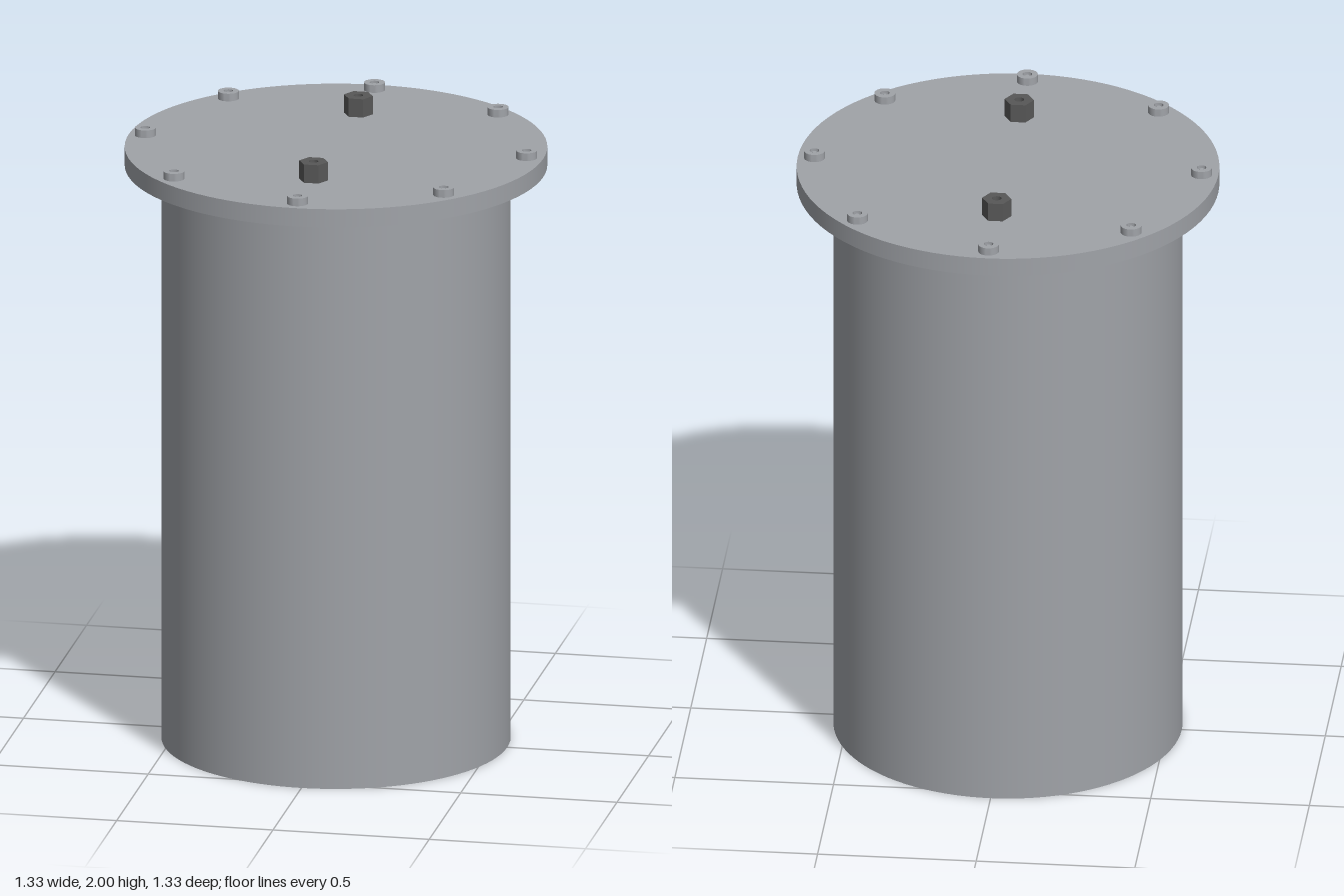
import * as THREE from 'three';
import { toCreasedNormals } from 'three/addons/utils/BufferGeometryUtils.js';

const BODY_R = 0.548, LID_R = 0.663, LID_Y = 1.88, LID_TOP = 1.94;

export function createModel() {
  const model = new THREE.Group();
  model.name = 'canister';
  const steel = new THREE.MeshStandardMaterial({ name: 'steel grey', color: 0xa0a3a8 });
  const dark = new THREE.MeshStandardMaterial({ name: 'dark grey', color: 0x585858 });

  const add = (name, geometry, material, x, y, z) => {
    const mesh = new THREE.Mesh(geometry, material);
    mesh.name = name;
    mesh.position.set(x, y, z);
    model.add(mesh);
  };

  // Cylindrical body and overhanging lid
  add('body', new THREE.CylinderGeometry(BODY_R, BODY_R, LID_Y, 96), steel, 0, LID_Y / 2, 0);
  add('lid', new THREE.CylinderGeometry(LID_R, LID_R, LID_TOP - LID_Y, 96), steel, 0, (LID_Y + LID_TOP) / 2, 0);

  // Round bolt heads with a recessed socket and centre pin
  const profile = [[0.033, 0], [0.033, 0.025], [0.015, 0.025], [0.015, 0.014],
    [0.006, 0.014], [0.006, 0.02], [0, 0.02]].map(([r, y]) => new THREE.Vector2(r, y));
  const boltGeometry = toCreasedNormals(new THREE.LatheGeometry(profile, 32), Math.PI / 5);
  for (let i = 0; i < 8; i++) {
    const a = i * Math.PI / 4;
    add('bolt' + (i + 1), boltGeometry, steel, 0.61 * Math.cos(a), LID_TOP, 0.61 * Math.sin(a));
  }

  // Hollow hexagonal standoffs, corners pointing along x
  const hex = new THREE.Shape(Array.from({ length: 6 }, (_, i) =>
    new THREE.Vector2(0.046 * Math.cos(i * Math.PI / 3), 0.046 * Math.sin(i * Math.PI / 3))));
  hex.holes.push(new THREE.Path().absarc(0, 0, 0.015, 0, Math.PI * 2, true));
  const hexGeometry = new THREE.ExtrudeGeometry(hex, { depth: 2 - LID_TOP, bevelEnabled: false, curveSegments: 24 });
  hexGeometry.rotateX(-Math.PI / 2);
  add('frontStandoff', hexGeometry, dark, 0, LID_TOP, 0.355);
  add('backStandoff', hexGeometry, dark, 0, LID_TOP, -0.355);

  return model;
}
